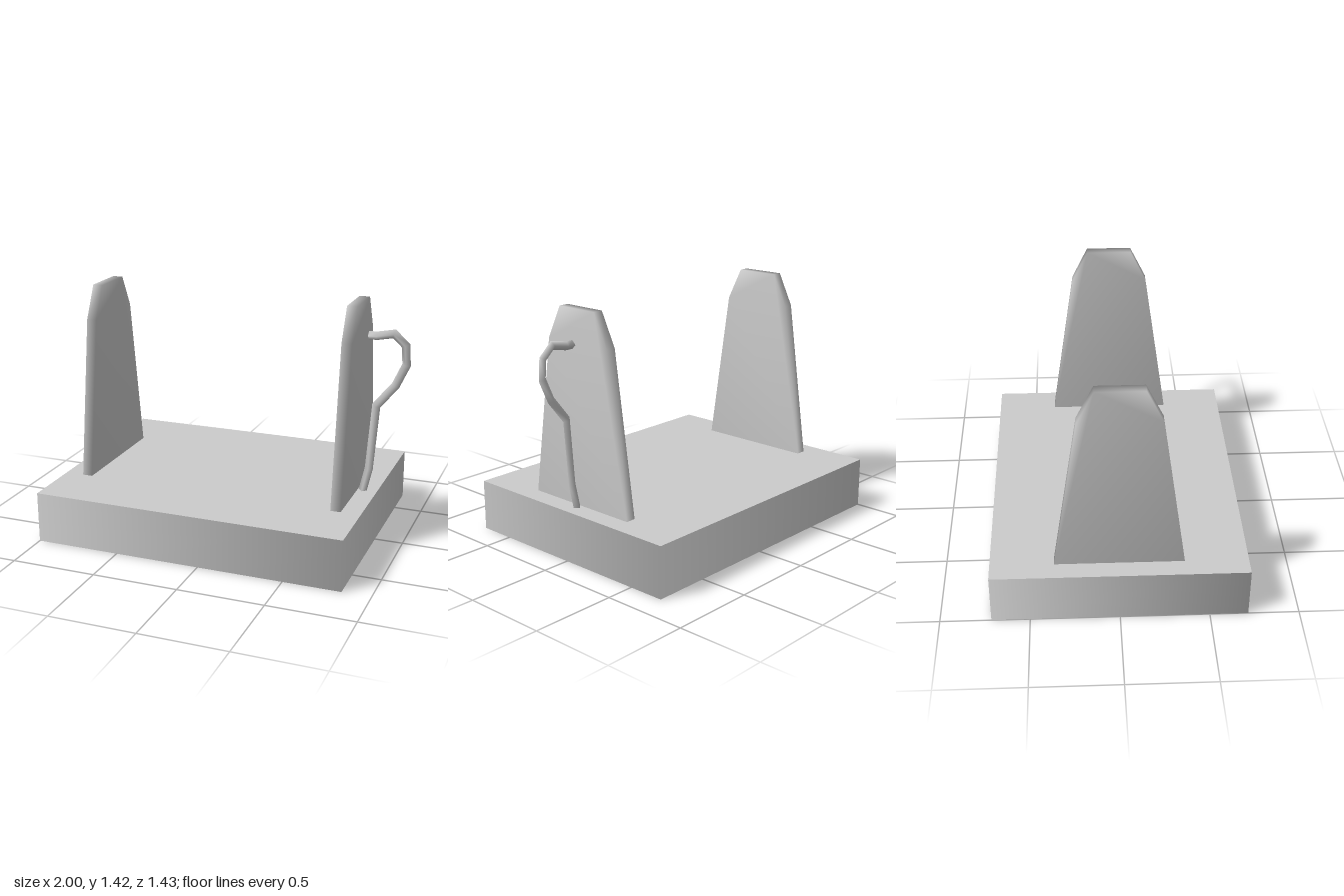
import * as THREE from 'three';
import { mergeVertices } from 'three/addons/utils/BufferGeometryUtils.js';

const grey = new THREE.MeshStandardMaterial({ color: 0xcccccc });

function part(name, geometry) {
  const mesh = new THREE.Mesh(geometry, grey);
  mesh.name = name;
  return mesh;
}

// Share all corners so the normals run smoothly over the edges
function smooth(geometry) {
  geometry.deleteAttribute('normal');
  geometry.deleteAttribute('uv');
  const merged = mergeVertices(geometry);
  merged.computeVertexNormals();
  return merged;
}

// Tapered upright plate with a chamfered top, profile in z/y, thickness in x
function uprightGeometry(thickness) {
  const half = [[0.36, 0.3], [0.225, 1.23], [0.132, 1.42]];
  const outline = [...half, ...half.map(([z, y]) => [-z, y]).reverse()];
  const shape = new THREE.Shape(outline.map(([z, y]) => new THREE.Vector2(z, y)));
  const geometry = new THREE.ExtrudeGeometry(shape, { depth: thickness, bevelEnabled: false });
  geometry.translate(0, 0, -thickness / 2).rotateY(Math.PI / 2);
  return smooth(geometry);
}

// Diamond-section bar swept along a bent path in the x/y plane, mitred at each bend
function barGeometry(path, radius) {
  const pts = path.map(([x, y]) => new THREE.Vector2(x, y));
  const positions = [], index = [];
  pts.forEach((p, i) => {
    const a = pts[Math.max(i - 1, 0)], b = pts[Math.min(i + 1, pts.length - 1)];
    const into = p.clone().sub(a).normalize(), out = b.clone().sub(p).normalize();
    const t = into.clone().add(out).normalize();
    const miter = radius / t.dot(out.lengthSq() > 0 ? out : into);
    const nx = -t.y * miter, ny = t.x * miter;
    positions.push(p.x + nx, p.y + ny, 0, p.x, p.y, radius,
      p.x - nx, p.y - ny, 0, p.x, p.y, -radius);
  });
  for (let i = 0; i < pts.length - 1; i++) {
    for (let j = 0; j < 4; j++) {
      const a = i * 4 + j, b = i * 4 + (j + 1) % 4;
      index.push(a, b, a + 4, b, b + 4, a + 4);
    }
  }
  const e = (pts.length - 1) * 4;
  index.push(0, 2, 1, 0, 3, 2, e, e + 1, e + 2, e, e + 2, e + 3);
  const geometry = new THREE.BufferGeometry();
  geometry.setAttribute('position', new THREE.Float32BufferAttribute(positions, 3));
  geometry.setIndex(index);
  geometry.computeVertexNormals();
  return geometry;
}

export function createModel() {
  const model = new THREE.Group();
  model.name = 'uprightStand';

  // Base block: four-sided prism with softly shaded walls
  const block = new THREE.CylinderGeometry(Math.SQRT1_2, Math.SQRT1_2, 1, 4);
  block.rotateY(Math.PI / 4).scale(1.835, 0.3, 1.43).translate(-0.0825, 0.15, 0);
  model.add(part('base', block));

  // Pair of uprights
  for (const [name, x] of [['rightUpright', -0.86], ['leftUpright', 0.69]]) {
    const upright = part(name, uprightGeometry(0.06));
    upright.position.x = x;
    model.add(upright);
  }

  // Bent handle outside the left upright
  const path = [[0.75, 0.3], [0.782, 0.44], [0.812, 0.825], [0.918, 0.955],
    [0.975, 1.08], [0.967, 1.19], [0.9, 1.252], [0.8, 1.232], [0.755, 1.232]];
  model.add(part('handle', barGeometry(path, 0.024)));

  return model;
}
